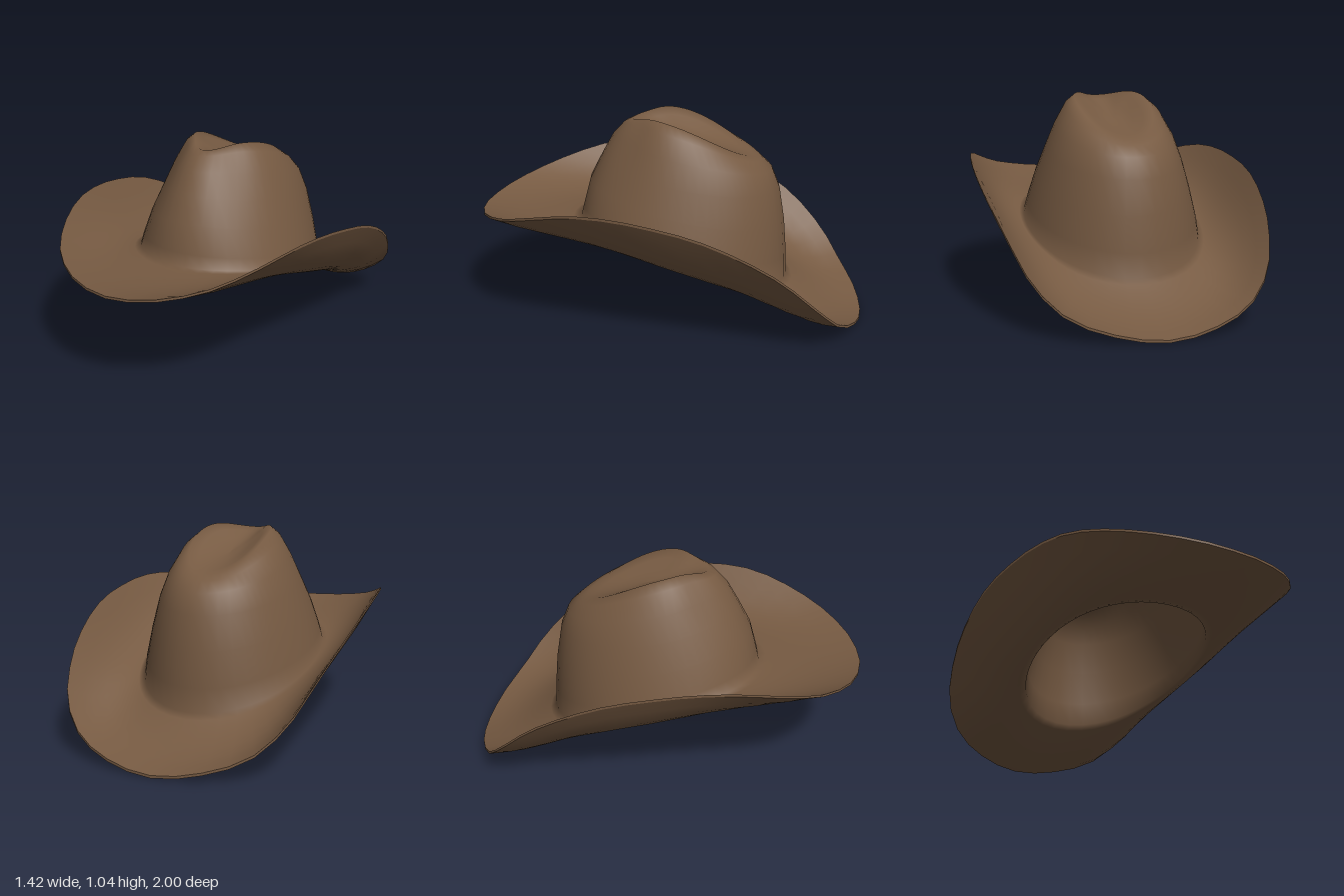
import * as THREE from 'three';

const SEGMENTS = 48;

// Half of the brim's rim from front to back: x, y, z
const RIM = [
  [0, 0.525, 1], [0.12, 0.53, 0.985], [0.27, 0.55, 0.93], [0.44, 0.592, 0.8], [0.57, 0.655, 0.6],
  [0.645, 0.7, 0.4], [0.685, 0.705, 0.2], [0.705, 0.68, 0], [0.71, 0.635, -0.2], [0.692, 0.55, -0.4],
  [0.65, 0.425, -0.6], [0.57, 0.25, -0.78], [0.44, 0.12, -0.885], [0.23, 0.045, -0.97], [0, 0.013, -1],
];

// Crown rings from base to top: half width, front z, back z, front y, back y, side rise, front pinch
const CROWN = [
  [0.446, 0.48, -0.602, 0.495, 0.2, 0.04, 0],
  [0.43, 0.465, -0.598, 0.56, 0.32, 0.02, 0],
  [0.39, 0.43, -0.583, 0.7, 0.5, 0, 0.02],
  [0.342, 0.37, -0.555, 0.82, 0.67, 0, 0.05],
  [0.295, 0.31, -0.515, 0.93, 0.77, 0.015, 0.08],
  [0.24, 0.25, -0.46, 0.995, 0.82, 0.055, 0.1],
  [0.19, 0.21, -0.41, 1.014, 0.845, 0.072, 0.1],
  [0.14, 0.15, -0.35, 0.995, 0.86, 0.048, 0.08],
  [0.09, 0.07, -0.28, 0.97, 0.875, 0.02, 0.04],
  [0.045, -0.02, -0.2, 0.945, 0.895, 0.005, 0],
  [0, -0.11, -0.11, 0.92, 0.92, 0, 0],
];

// Closed rim curve, mirrored across x
const half = RIM.map((p) => new THREE.Vector3(...p));
const mirrored = half.slice(1, -1).reverse().map((p) => new THREE.Vector3(-p.x, p.y, p.z));
const rim = new THREE.CatmullRomCurve3([...half, ...mirrored], true).getSpacedPoints(SEGMENTS).slice(0, SEGMENTS);
const angles = rim.map((p) => Math.atan2(p.x / 0.71, p.z + 0.06));

// One egg-shaped ring of the crown, optionally inset for the lining
function crownRing([w, zFront, zBack, yFront, yBack, rise, pinch], inset = 0, drop = 0) {
  return angles.map((a) => {
    const c = Math.cos(a), s = Math.sin(a);
    const dent = 1 - pinch * Math.exp(-(((Math.abs(a) - 0.7) / 0.4) ** 2));
    const zMid = (zFront + zBack) / 2;
    const zHalf = Math.max(0, (zFront - zBack) / 2 - inset);
    return new THREE.Vector3(
      Math.max(0, w - inset) * s * dent,
      yBack + (yFront - yBack) * (1 + c) / 2 + rise * s * s * (1 + 0.5 * c) - drop,
      zMid + zHalf * c * dent,
    );
  });
}

// One ring of the brim: f = 0 at the crown, 1 at the rim
function brimRing(f, under = false) {
  const inner = crownRing(CROWN[0], under ? 0.015 : 0);
  return inner.map((p, i) => {
    const q = p.clone().lerp(rim[i], f);
    const sag = 0.026 - 0.008 * Math.cos(angles[i]) + 0.035 * Math.sin(angles[i]) ** 2;
    q.y -= 4 * sag * f * (1 - f);
    if (under) q.y -= 0.025 - 0.012 * f;
    return q;
  });
}

// Joins closed rings into a smooth surface
function loft(name, rings, material) {
  const index = [];
  for (let r = 0; r < rings.length - 1; r++) {
    for (let i = 0; i < SEGMENTS; i++) {
      const j = (i + 1) % SEGMENTS;
      const a = r * SEGMENTS + i, d = r * SEGMENTS + j;
      const b = a + SEGMENTS, c = d + SEGMENTS;
      index.push(a, b, c, a, c, d);
    }
  }
  const geometry = new THREE.BufferGeometry().setFromPoints(rings.flat());
  geometry.setIndex(index);
  geometry.computeVertexNormals();
  const mesh = new THREE.Mesh(geometry, material);
  mesh.name = name;
  return mesh;
}

export function createModel() {
  const felt = new THREE.MeshStandardMaterial({ color: 0x765a42 });
  felt.name = 'brown felt';

  const steps = [0, 0.08, 0.2, 0.35, 0.5, 0.65, 0.82, 1];
  const crownLevels = CROWN.slice(1);
  const crown = crownLevels.map((level) => crownRing(level)).reverse();
  const crownLining = crownLevels.map((level) => crownRing(level, 0.015, 0.025));
  const brimTop = steps.map((f) => brimRing(f));
  const brimUnderside = steps.map((f) => brimRing(f, true)).reverse();

  const hat = new THREE.Group();
  hat.name = 'hat';
  hat.add(
    // Pinched crown flowing into the top of the curled brim
    loft('crownAndBrim', [...crown, ...brimTop], felt),
    // Thin edge around the rim
    loft('brimEdge', [brimRing(1), brimRing(1, true)], felt),
    // Underside of the brim and the hollow inside of the crown
    loft('undersideAndLining', [...brimUnderside, ...crownLining], felt),
  );
  return hat;
}
